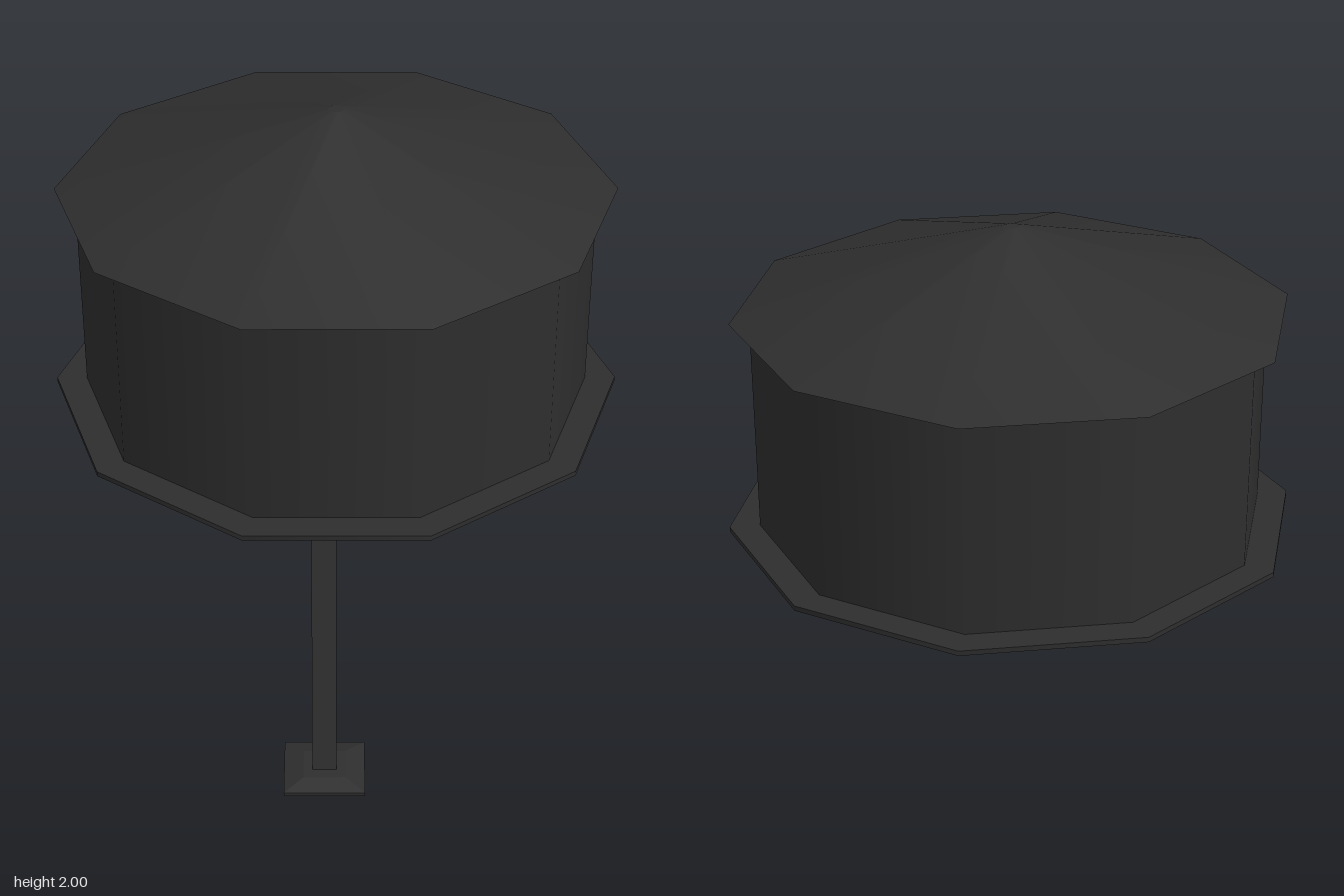
import * as THREE from 'three';

const SIDES = 10;

export function createModel() {
  const model = new THREE.Group();
  model.name = 'waterTower';
  const iron = new THREE.MeshStandardMaterial({ color: 0x2e2e2e });
  iron.name = 'dark iron';

  function add(parent, name, geometry) {
    const mesh = new THREE.Mesh(geometry, iron);
    mesh.name = name;
    parent.add(mesh);
    return mesh;
  }

  // Ten-sided tank sections, corners pointing along x
  const tank = new THREE.Group();
  tank.name = 'tank';
  tank.position.z = -0.04;
  model.add(tank);
  function section(name, rTop, rBottom, yTop, yBottom) {
    const g = new THREE.CylinderGeometry(rTop, rBottom, yTop - yBottom, SIDES, 1, false, Math.PI / SIDES);
    add(tank, name, g).position.y = (yTop + yBottom) / 2;
  }
  section('roof', 0.025, 0.905, 2.0, 1.717);
  section('eave', 0.905, 0.87, 1.717, 1.703);
  section('tankWall', 0.84, 0.84, 1.71, 0.985);
  section('walkway', 0.94, 0.94, 0.997, 0.98);
  section('hopper', 0.84, 0.25, 0.982, 0.725);

  // Single slanted leg with a square plate at each end
  const leg = new THREE.Group();
  leg.name = 'leg';
  leg.position.x = -0.04;
  model.add(leg);

  const post = add(leg, 'legPost', new THREE.BoxGeometry(0.08, 0.9, 0.08));
  post.position.set(0, 0.455, 0.69);
  post.rotation.x = -0.24;

  // Square plate with a shallow bevelled top
  function plate(name, y, z, tilt) {
    const group = new THREE.Group();
    group.name = name;
    group.position.set(0, y, z);
    group.rotation.x = tilt;
    leg.add(group);
    add(group, name + 'Base', new THREE.BoxGeometry(0.265, 0.014, 0.245)).position.y = 0.007;
    const bevel = new THREE.CylinderGeometry(0.09, 0.1732, 0.014, 4, 1, false, Math.PI / 4).toNonIndexed();
    bevel.scale(1.08, 1, 1);
    bevel.computeVertexNormals();
    add(group, name + 'Bevel', bevel).position.y = 0.021;
    return group;
  }
  plate('footPlate', 0, 0.81, 0);
  plate('mountingPlate', 0.89, 0.575, Math.PI - 0.37);

  return model;
}
